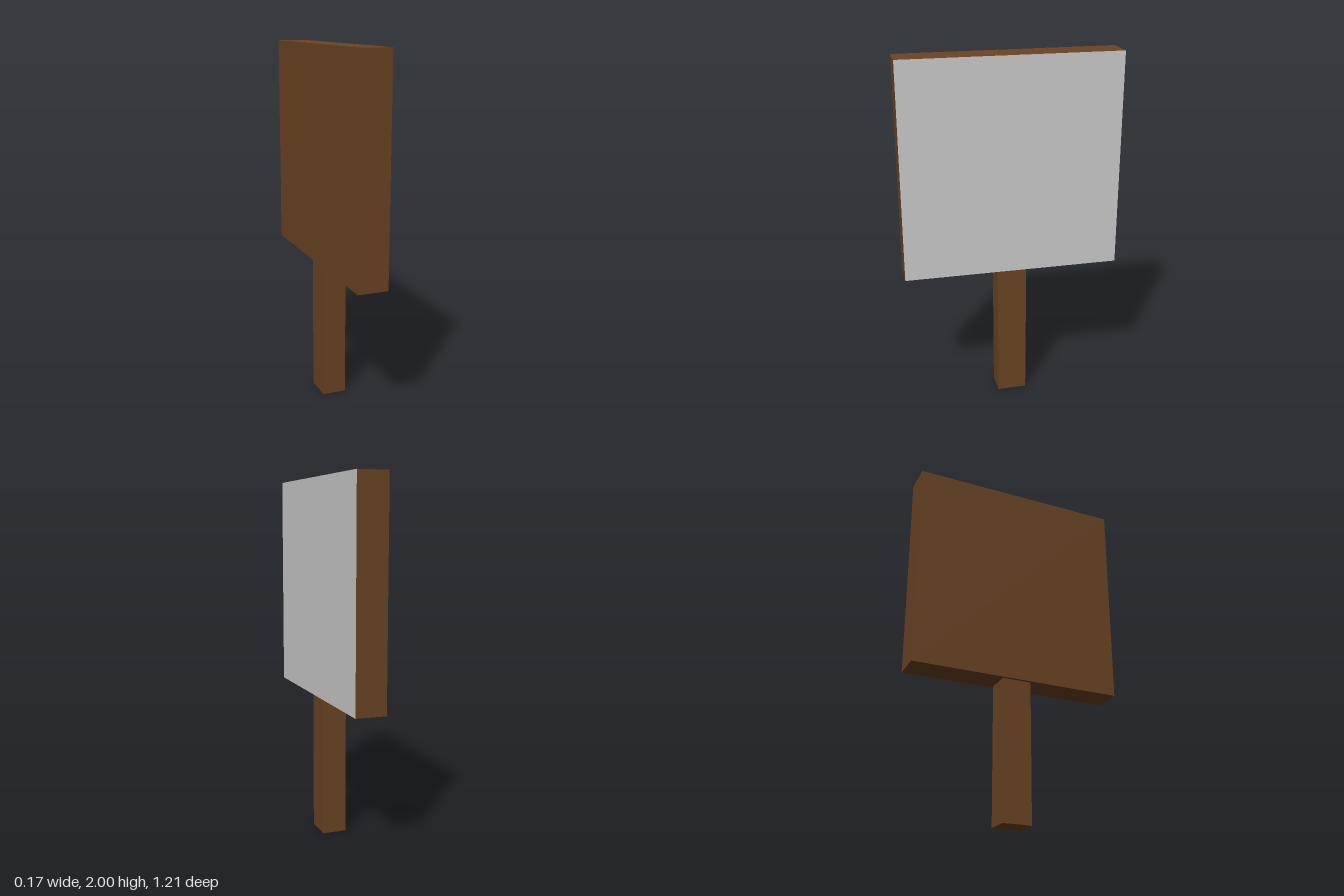
import * as THREE from 'three';

export function createModel() {
  const model = new THREE.Group();
  const wood = new THREE.MeshStandardMaterial({ color: 0x6b4423 });
  const blank = new THREE.MeshStandardMaterial({ color: 0xcccccc });

  function addBox(name, [w, h, d], y, material) {
    const mesh = new THREE.Mesh(new THREE.BoxGeometry(w, h, d), material);
    mesh.name = name;
    mesh.position.y = y + h / 2;
    model.add(mesh);
  }

  const postHeight = 0.79;

  // Square-cut post the sign stands on
  addBox('post', [0.136, postHeight, 0.166], 0, wood);

  // Sign board: wood all round, with a grey panel on the +x face
  addBox('signBoard', [0.17, 2 - postHeight, 1.214], postHeight,
    [blank, wood, wood, wood, wood, wood]);

  return model;
}
